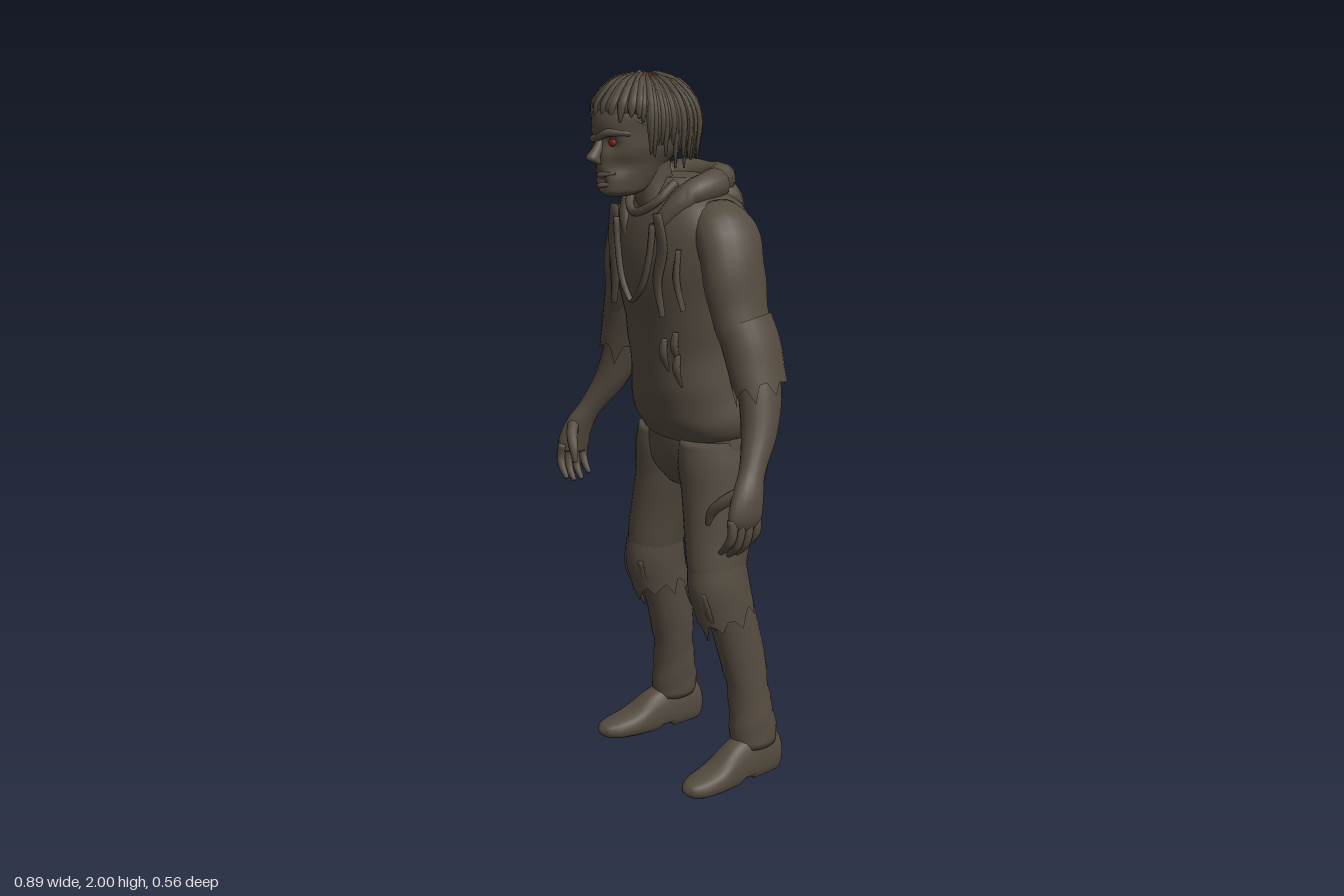
import * as THREE from 'three';

const cloth = new THREE.MeshStandardMaterial({ color: 0x544b3f, side: THREE.DoubleSide });
cloth.name = 'grimy brown';
const red = new THREE.MeshStandardMaterial({ color: 0x8a2008, side: THREE.DoubleSide });
red.name = 'dried red';

let seed = 7;
const rnd = () => (seed = (seed * 16807) % 2147483647) / 2147483647;

// Skin through sections [x, y, z, radiusU, radiusV]; rings are square to the path or to a fixed axis.
function loft(pts, { sides = 20, steps = 4, axis, pow = 2, rag = 0, open = false, rule } = {}) {
  const path = new THREE.CatmullRomCurve3(pts.map(p => new THREE.Vector3(p[0], p[1], p[2])));
  const size = new THREE.CatmullRomCurve3(pts.map((p, i) => new THREE.Vector3(p[3], p[4] ?? p[3], i)));
  const rows = (pts.length - 1) * steps, pos = [], idx = [];
  for (let i = 0; i <= rows; i++) {
    const k = i / rows, c = path.getPoint(k), r = size.getPoint(k), t = path.getTangent(k);
    let u = new THREE.Vector3(1, 0, 0), v = new THREE.Vector3(0, 0, 1);
    if (axis === 'z') v.set(0, 1, 0);
    else if (axis !== 'y') {
      if (Math.abs(t.z) > 0.85) v.set(0, 1, 0);
      v.addScaledVector(t, -v.dot(t)).normalize();
      u.crossVectors(v, t);
    }
    for (let j = 0; j < sides; j++) {
      const a = j / sides * Math.PI * 2, ca = Math.cos(a), sa = Math.sin(a);
      const p = c.clone()
        .addScaledVector(u, Math.max(r.x, 0.001) * Math.sign(ca) * Math.abs(ca) ** (2 / pow))
        .addScaledVector(v, Math.max(r.y, 0.001) * Math.sign(sa) * Math.abs(sa) ** (2 / pow));
      if (rag && i === rows) p.addScaledVector(t, rag * (j % 3 ? rnd() * 0.5 : 0.4 + rnd()));
      if (rule) rule(p, c, a);
      pos.push(p.x, p.y, p.z);
    }
  }
  for (let i = 0; i < rows; i++) for (let j = 0; j < sides; j++) {
    const a = i * sides + j, b = i * sides + (j + 1) % sides;
    idx.push(a, b, a + sides, b, b + sides, a + sides);
  }
  if (!open) [0, rows].forEach((row, end) => {
    const p = path.getPoint(end), n = pos.length / 3;
    pos.push(p.x, p.y, p.z);
    for (let j = 0; j < sides; j++) {
      const a = row * sides + j, b = row * sides + (j + 1) % sides;
      idx.push(n, end ? a : b, end ? b : a);
    }
  });
  const g = new THREE.BufferGeometry();
  g.setAttribute('position', new THREE.Float32BufferAttribute(pos, 3));
  g.setIndex(idx);
  g.computeVertexNormals();
  return g;
}

function add(group, name, geo, mat = cloth) {
  const m = new THREE.Mesh(geo, mat);
  m.name = name;
  group.add(m);
  return m;
}

function ball(group, name, [x, y, z], [a, b, c], mat) {
  const m = add(group, name, new THREE.SphereGeometry(1, 16, 12), mat);
  m.position.set(x, y, z);
  m.scale.set(a, b, c);
  return m;
}

// Cloth folds: push points outward in slanted waves
const folds = (amount, freq) => (p, c, a) => {
  const w = 1 + amount * Math.sin(p.y * freq + 2 * Math.sin(a) + a);
  p.x = c.x + (p.x - c.x) * w;
  p.z = c.z + (p.z - c.z) * w;
};

// Depth of the chest surface at x
const chest = x => -0.025 + 0.178 * (1 - Math.min(1, Math.abs(x) / 0.215) ** 2.3) ** (1 / 2.3);

function buildTorso(g) {
  add(g, 'hoodie', loft([
    [0, 1.73, 0, 0.07, 0.07], [0, 1.7, -0.01, 0.12, 0.1], [0, 1.66, -0.015, 0.175, 0.13], [0, 1.6, -0.02, 0.215, 0.155],
    [0, 1.52, -0.025, 0.212, 0.175], [0, 1.42, -0.03, 0.193, 0.175], [0, 1.32, -0.05, 0.185, 0.175],
    [0, 1.22, -0.08, 0.19, 0.196], [0, 1.14, -0.085, 0.205, 0.188], [0, 1.08, -0.085, 0.21, 0.18],
    [0, 1.04, -0.09, 0.202, 0.162], [0, 1.015, -0.09, 0.185, 0.145]],
    { axis: 'y', sides: 40, pow: 2.25, rule: (p, c, a) => {
      folds(p.y < 1.35 ? 0.013 : 0.004, 42)(p, c, a);
      if (p.y < 1.2) p.y -= p.z * 0.08;
    } }));
  add(g, 'trouserSeat', loft([[0, 1.07, -0.09, 0.185, 0.145], [0, 0.98, -0.085, 0.195, 0.145],
    [0, 0.92, -0.08, 0.17, 0.13], [0, 0.87, -0.07, 0.07, 0.09]], { axis: 'y', sides: 28, pow: 2.3 }));
  add(g, 'neck', loft([[-0.02, 1.79, 0.09, 0.055, 0.06], [-0.015, 1.7, 0.07, 0.055, 0.06],
    [0, 1.62, 0.03, 0.075, 0.08], [0, 1.55, 0, 0.09, 0.1]], { axis: 'y' }));
  // Rolled hood round the neck, with its pocket hanging at the back
  const half = [[0.05, 1.56, 0.125, 0.016], [0.085, 1.63, 0.105, 0.026], [0.112, 1.69, 0.045, 0.036],
    [0.108, 1.71, -0.03, 0.042], [0.065, 1.72, -0.09, 0.042]];
  const flip = half.map(([x, ...r]) => [-x, ...r]).reverse();
  add(g, 'hoodRoll', loft([...half, [0, 1.715, -0.103, 0.042], ...flip], { sides: 12 }));
  add(g, 'hoodPocket', loft([[0, 1.73, -0.08, 0.09, 0.05], [0, 1.68, -0.09, 0.135, 0.065],
    [0, 1.62, -0.11, 0.11, 0.072], [0, 1.56, -0.135, 0.06, 0.055], [0, 1.5, -0.16, 0.025, 0.042]], { axis: 'y' }));
  add(g, 'innerCollar', loft([[0.07, 1.72, 0.06, 0.012], [0.055, 1.67, 0.115, 0.012], [-0.01, 1.64, 0.137, 0.012],
    [-0.07, 1.67, 0.11, 0.012], [-0.085, 1.72, 0.05, 0.012]], { sides: 8 }));
  // Torn neckline and hanging strips
  for (const s of [1, -1]) {
    const strip = (name, list, w) => add(g, name, loft(
      list.map(([x, y, k = 1]) => [s * x, y, chest(x) + 0.002, w * k, 0.009]), { sides: 8 }));
    strip('necklineEdge', [[0.085, 1.62], [0.075, 1.54], [0.045, 1.45], [0.004, 1.405, 0.5]], 0.009);
    strip('hangingStrip', [[0.1, 1.65], [0.115, 1.56, 1.3], [0.1, 1.47], [0.115, 1.38, 0.3]], 0.017);
    strip('chestTear', [[0.155, 1.56, 0.4], [0.15, 1.48], [0.165, 1.4, 0.3]], 0.01);
  }
  for (const [x, y] of [[0.11, 1.32], [0.14, 1.34], [0.145, 1.28]])
    add(g, 'tornShred', loft([[x, y, chest(x) - 0.01, 0.008], [x, y - 0.04, chest(x) - 0.005, 0.014, 0.01],
      [x + 0.005, y - 0.09, chest(x) - 0.02, 0.003]], { sides: 6 }));
  ball(g, 'backStain', [-0.1, 1.655, -0.128], [0.012, 0.025, 0.008], red);
}

function buildArm(g, s) {
  const m = pts => pts.map(([x, ...r]) => [s * x, ...r]);
  add(g, 'sleeve', loft(m([[0.13, 1.64, -0.02, 0.05, 0.07], [0.19, 1.595, -0.015, 0.068, 0.09],
    [0.228, 1.51, -0.01, 0.064, 0.093], [0.25, 1.4, -0.015, 0.06, 0.085], [0.285, 1.3, -0.03, 0.056, 0.078]]),
    { rule: folds(0.02, 50) }));
  add(g, 'rolledCuff', loft(m([[0.262, 1.375, -0.02, 0.062, 0.082], [0.285, 1.31, -0.03, 0.065, 0.084],
    [0.312, 1.23, -0.032, 0.06, 0.08]]), { sides: 24, rag: 0.05, open: true }));
  add(g, 'forearm', loft(m([[0.285, 1.3, -0.03, 0.045, 0.06], [0.32, 1.2, -0.03, 0.05, 0.062],
    [0.352, 1.1, -0.005, 0.045, 0.05], [0.388, 1.01, 0.045, 0.031, 0.036], [0.41, 0.95, 0.075, 0.03, 0.046],
    [0.418, 0.9, 0.09, 0.024, 0.052], [0.415, 0.87, 0.095, 0.014, 0.04]])));
  add(g, 'tornSleeveShred', loft(m([[0.28, 1.24, -0.07, 0.018, 0.008], [0.278, 1.18, -0.075, 0.012, 0.006],
    [0.285, 1.12, -0.075, 0.002]]), { sides: 6 }));
  // Curled fingers and thumb
  for (let i = 0; i < 4; i++) {
    const z = 0.052 + i * 0.026, drop = [0.015, 0, 0, 0.012][i];
    add(g, 'finger', loft(m([[0.416, 0.9, z, 0.014], [0.422, 0.86, z + 0.004, 0.013],
      [0.41, 0.82 + drop, z + 0.008, 0.012], [0.38, 0.79 + drop, z + 0.01, 0.007]]), { sides: 8 }));
  }
  add(g, 'thumb', loft(m([[0.4, 0.96, 0.1, 0.018], [0.37, 0.935, 0.125, 0.017],
    [0.342, 0.905, 0.138, 0.014], [0.326, 0.865, 0.142, 0.007]]), { sides: 8 }));
}

function buildLeg(g, s) {
  const m = pts => pts.map(([x, ...r]) => [s * x, ...r]);
  add(g, 'trouserLeg', loft(m([[0.1, 1.02, -0.085, 0.09, 0.14], [0.104, 0.95, -0.08, 0.1, 0.142],
    [0.113, 0.87, -0.07, 0.097, 0.128], [0.13, 0.77, -0.048, 0.084, 0.108], [0.15, 0.65, -0.025, 0.07, 0.092],
    [0.16, 0.57, -0.038, 0.064, 0.084], [0.167, 0.48, -0.07, 0.06, 0.076], [0.174, 0.38, -0.095, 0.059, 0.07],
    [0.185, 0.27, -0.112, 0.057, 0.062], [0.195, 0.17, -0.122, 0.059, 0.071], [0.2, 0.1, -0.125, 0.055, 0.075]]),
    { axis: 'y', sides: 24, rule: (p, c, a) => folds(p.y < 0.35 ? 0.035 : 0.012, p.y < 0.35 ? 70 : 30)(p, c, a) }));
  // Ripped knee
  add(g, 'tornKnee', loft(m([[0.151, 0.66, -0.022, 0.07, 0.09], [0.157, 0.6, -0.025, 0.073, 0.094],
    [0.162, 0.53, -0.042, 0.07, 0.09]]), { sides: 27, rag: 0.05, open: true }));
  for (const [x, h] of [[0.12, 0.1], [0.155, 0.16], [0.185, 0.12]])
    add(g, 'kneeShred', loft(m([[x, 0.6, 0.055, 0.016, 0.007], [x + 0.01, 0.6 - h * 0.5, 0.04, 0.018, 0.008],
      [x + 0.005, 0.6 - h, 0.01, 0.003]]), { sides: 6 }));
  // Boot with a raised arch between heel and ball
  add(g, 'boot', loft(m([[0.197, 0.05, -0.212, 0.03, 0.05], [0.198, 0.055, -0.19, 0.046, 0.075],
    [0.2, 0.06, -0.12, 0.05, 0.085], [0.206, 0.05, -0.04, 0.05, 0.072], [0.213, 0.035, 0.03, 0.054, 0.042],
    [0.218, 0.03, 0.09, 0.047, 0.03], [0.22, 0.03, 0.125, 0.03, 0.02], [0.22, 0.03, 0.14, 0.008, 0.006]]),
    { axis: 'z', pow: 2.3, rule: p => { p.y = Math.max(p.y, p.z > -0.1 && p.z < -0.04 ? 0.018 : 0); } }));
}

function buildHead(g) {
  // Gaunt face with sunken eyes, cheeks and mouth
  const dents = [[-0.062, 1.808, 0.022, 0.02], [0.004, 1.826, 0.022, 0.02], [-0.014, 1.728, 0.018, 0.02],
    [-0.07, 1.755, 0.022, 0.015], [0.035, 1.765, 0.022, 0.015]];
  add(g, 'head', loft([[-0.035, 1.985, 0.08, 0.04, 0.05], [-0.035, 1.95, 0.085, 0.09, 0.11],
    [-0.033, 1.9, 0.092, 0.105, 0.138], [-0.03, 1.85, 0.1, 0.096, 0.138], [-0.027, 1.81, 0.11, 0.088, 0.128],
    [-0.023, 1.77, 0.135, 0.07, 0.104], [-0.017, 1.73, 0.155, 0.054, 0.09], [-0.012, 1.7, 0.172, 0.04, 0.066],
    [-0.01, 1.688, 0.18, 0.022, 0.04]], { axis: 'y', sides: 48, steps: 6, pow: 2.2, rule: p => {
    if (p.z > 0.13) for (const [x, y, r, d] of dents)
      p.z -= d * Math.exp(-((p.x - x) ** 2 + (p.y - y) ** 2) / (r * r));
  } }));
  add(g, 'nose', loft([[-0.03, 1.835, 0.225, 0.01], [-0.025, 1.81, 0.24, 0.012, 0.016],
    [-0.022, 1.787, 0.256, 0.016, 0.02], [-0.021, 1.772, 0.243, 0.012, 0.01]], { axis: 'y', sides: 12 }));
  add(g, 'brow', loft([[-0.105, 1.822, 0.185, 0.008], [-0.062, 1.832, 0.228, 0.011], [-0.028, 1.838, 0.236, 0.009],
    [0.005, 1.852, 0.228, 0.011], [0.045, 1.85, 0.185, 0.008]], { sides: 8 }));
  for (const y of [1.741, 1.714])
    add(g, 'lip', loft([[-0.045, y, 0.215, 0.004], [-0.014, y + 0.003, 0.243, 0.007], [0.02, y + 0.008, 0.215, 0.004]], { sides: 8 }));
  for (const [x, y] of [[-0.062, 1.808], [0.004, 1.826]])
    ball(g, 'eye', [x, y, 0.21], [0.015, 0.012, 0.011], red);

  // Hair cap lifted at the forehead, with layers of ragged locks
  const C = [-0.035, 1.865, 0.085];
  const cap = add(g, 'hairCap', new THREE.SphereGeometry(1, 32, 20, 0, Math.PI * 2, 0, 1.75));
  cap.scale.set(0.128, 0.122, 0.14);
  cap.position.set(...C);
  cap.rotation.x = -0.4;
  for (let layer = 0; layer < 3; layer++) for (let i = 0; i < 30; i++) {
    const a = (i + layer / 3) / 30 * Math.PI * 2, front = Math.sin(a), k = 0.96 - layer * 0.015 + rnd() * 0.07;
    const end = (front > 0.5 ? 0.035 : front > 0 ? -0.05 : -0.075) - rnd() * 0.03 + layer * 0.012;
    const at = (e, y, w) => [C[0] + Math.cos(e) * Math.cos(a) * 0.145 * k, y ?? C[1] + Math.sin(e) * 0.13 * k,
      C[2] + Math.cos(e) * front * 0.145 * k, w, w * 0.8];
    add(g, 'hairLock', loft([at(1.35 - layer * 0.15, null, 0.007), at(0.95, null, 0.013), at(0.5, null, 0.014),
      front > 0.5 ? at(0.36, null, 0.012) : at(0.1, null, 0.013), at(0.1 + rnd() * 0.15, C[1] + end, 0.003)],
      { sides: 6, steps: 3 }));
  }
  for (const [x, z, l] of [[-0.055, 0.13, 0.022], [0, 0.1, 0.028], [-0.03, 0.1, 0.01]])
    ball(g, 'hairStain', [x, 1.989 - (z - 0.09) * 0.2, z], [0.008, 0.007, l], red);
}

export function createModel() {
  seed = 7;
  const model = new THREE.Group();
  model.name = 'raggedFigure';
  const part = (name, build, s) => {
    const g = new THREE.Group();
    g.name = name;
    build(g, s);
    model.add(g);
  };
  part('torso', buildTorso);
  part('head', buildHead);
  for (const [side, s] of [['left', 1], ['right', -1]]) {
    part(side + 'Arm', buildArm, s);
    part(side + 'Leg', buildLeg, s);
  }
  return model;
}
